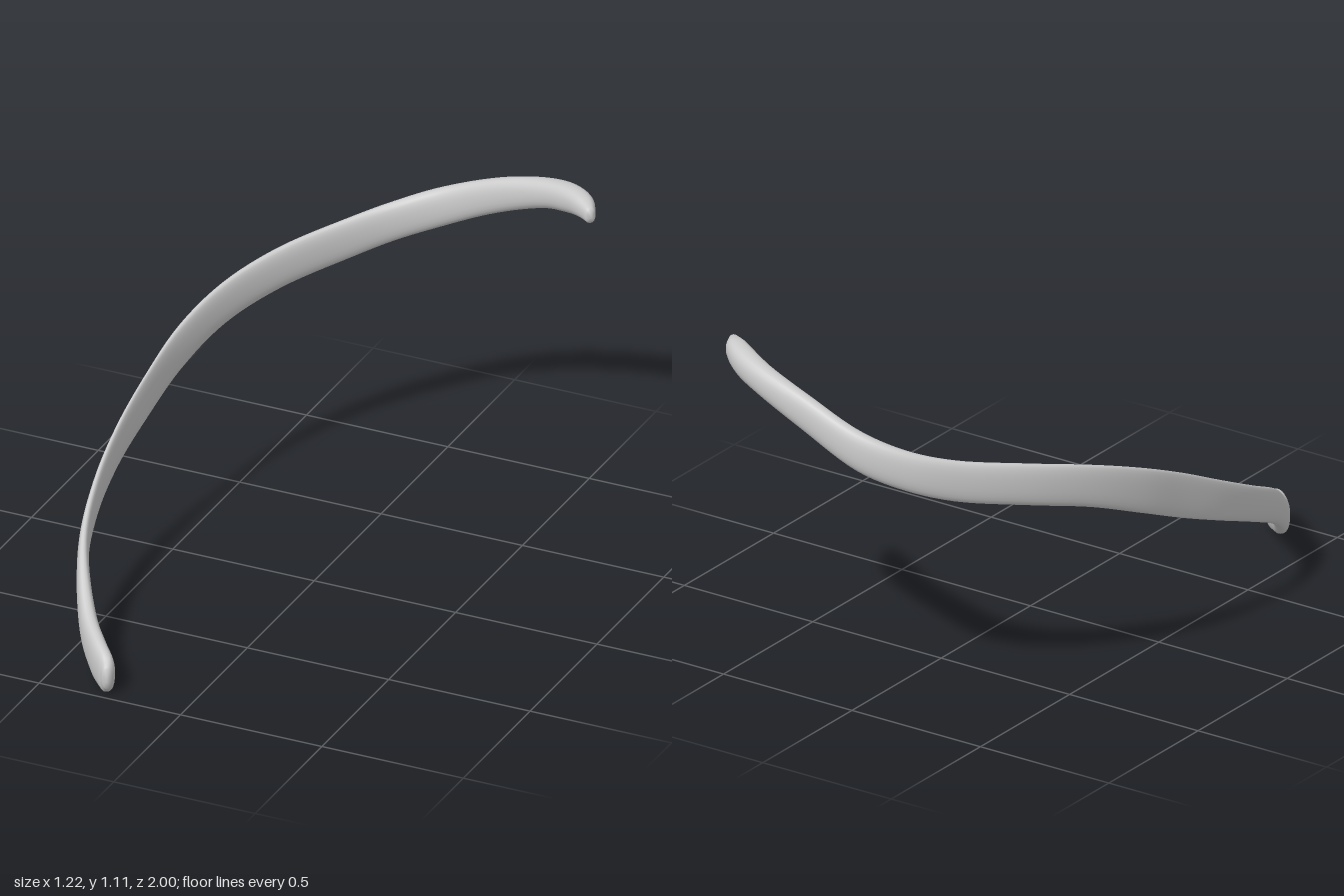
import * as THREE from 'three';

// Stations along the bone: x, y, z of the centre, then height and thickness
const STATIONS = [
  [-0.268, 0.068, 0.985, 0.07, 0.03],
  [-0.28, 0.073, 0.96, 0.13, 0.055],
  [-0.33, 0.092, 0.91, 0.145, 0.062],
  [-0.42, 0.138, 0.8, 0.128, 0.058],
  [-0.533, 0.272, 0.6, 0.125, 0.036],
  [-0.585, 0.368, 0.4, 0.128, 0.028],
  [-0.602, 0.457, 0.2, 0.142, 0.024],
  [-0.592, 0.545, 0, 0.158, 0.022],
  [-0.568, 0.63, -0.2, 0.158, 0.03],
  [-0.51, 0.704, -0.4, 0.148, 0.036],
  [-0.41, 0.757, -0.6, 0.145, 0.042],
  [-0.257, 0.804, -0.8, 0.142, 0.046],
  [-0.14, 0.846, -0.9, 0.138, 0.054],
  [0, 0.9, -0.96, 0.138, 0.062],
  [0.2, 0.985, -0.966, 0.122, 0.066],
  [0.38, 1.045, -0.942, 0.102, 0.08],
  [0.48, 1.068, -0.903, 0.094, 0.084],
  [0.55, 1.079, -0.855, 0.076, 0.07],
  [0.595, 1.077, -0.808, 0.052, 0.034],
];

// Sweeps a rounded upright band along the stations and closes both ends
function bandGeometry(stations, rings, sides) {
  const path = new THREE.CatmullRomCurve3(stations.map(s => new THREE.Vector3(s[0], s[1], s[2])));
  const size = new THREE.CatmullRomCurve3(stations.map((s, i) => new THREE.Vector3(s[3], s[4], i * 0.1)));
  const up = new THREE.Vector3(0, 1, 0);
  const positions = [], index = [];
  const soft = (v, e) => Math.sign(v) * Math.abs(v) ** e;

  for (let i = 0; i <= rings; i++) {
    const u = i / rings;
    const c = path.getPoint(u), s = size.getPoint(u);
    const out = up.clone().cross(path.getTangent(u)).normalize();
    for (let j = 0; j < sides; j++) {
      const a = j / sides * Math.PI * 2;
      const p = c.clone()
        .addScaledVector(out, soft(Math.cos(a), 0.8) * s.y / 2)
        .addScaledVector(up, soft(Math.sin(a), 0.9) * s.x / 2);
      positions.push(p.x, p.y, p.z);
      if (i === rings) continue;
      const k = (j + 1) % sides, b = i * sides, d = b + sides;
      index.push(b + j, b + k, d + k, b + j, d + k, d + j);
    }
  }

  // Domed tips
  for (const [u, dir, ring] of [[0, -1, 0], [1, 1, rings]]) {
    const tip = path.getPoint(u).addScaledVector(path.getTangent(u), dir * 0.014);
    const t = positions.length / 3, b = ring * sides;
    positions.push(tip.x, tip.y, tip.z);
    for (let j = 0; j < sides; j++) {
      const k = (j + 1) % sides;
      if (dir < 0) index.push(t, b + k, b + j);
      else index.push(t, b + j, b + k);
    }
  }

  const geometry = new THREE.BufferGeometry();
  geometry.setAttribute('position', new THREE.Float32BufferAttribute(positions, 3));
  geometry.setIndex(index);
  geometry.computeVertexNormals();
  return geometry;
}

export function createModel() {
  const group = new THREE.Group();
  group.name = 'rib';
  const bone = new THREE.Mesh(
    bandGeometry(STATIONS, 108, 24),
    new THREE.MeshStandardMaterial({ color: 0xcccccc })
  );
  bone.name = 'ribBone';
  group.add(bone);
  return group;
}
